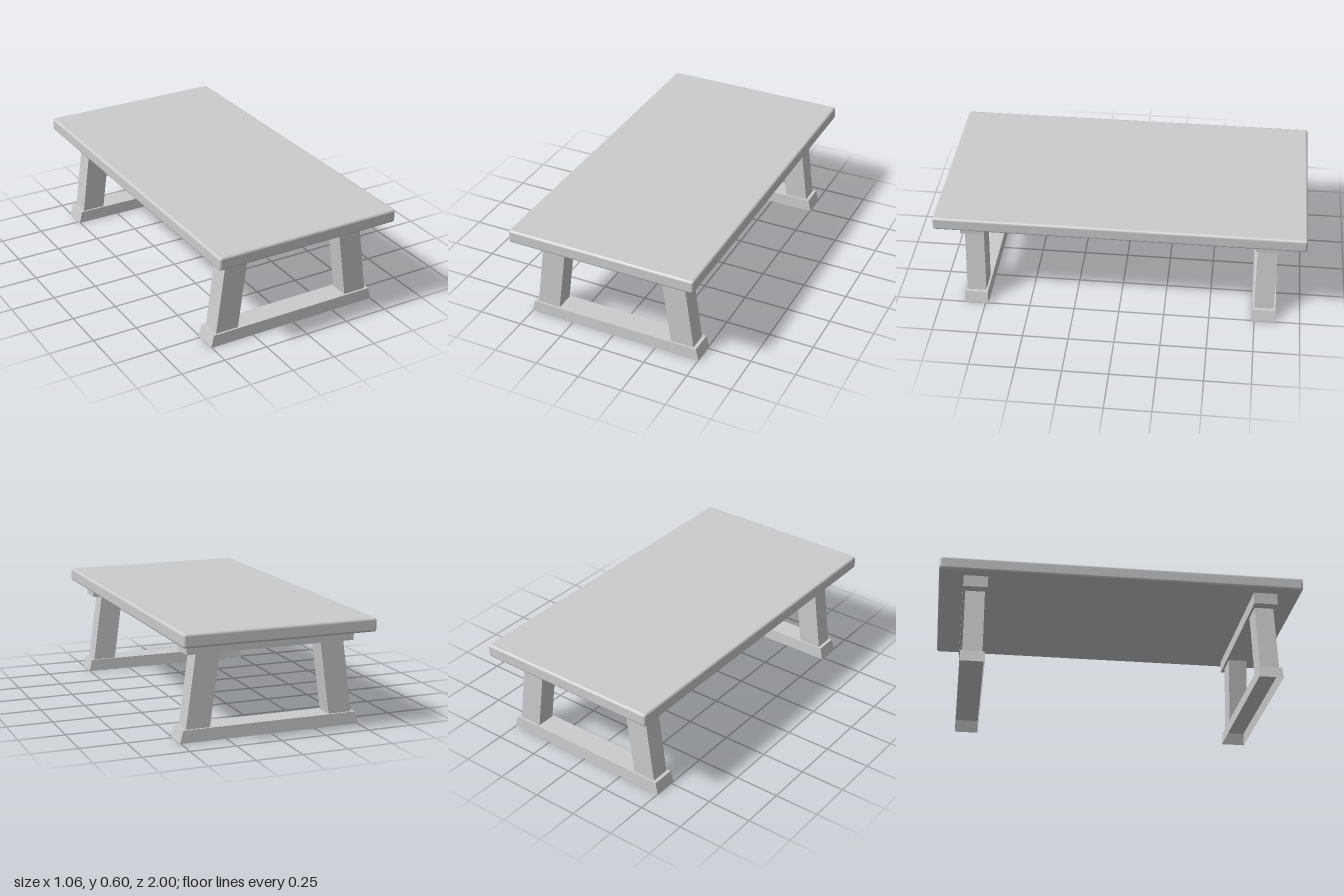
import * as THREE from 'three';
import { RoundedBoxGeometry } from 'three/addons/geometries/RoundedBoxGeometry.js';

const grey = new THREE.MeshStandardMaterial({ color: 0xcccccc });
const greyOpen = new THREE.MeshStandardMaterial({ color: 0xcccccc, side: THREE.DoubleSide });

function part(name, geometry, material = grey) {
  const mesh = new THREE.Mesh(geometry, material);
  mesh.name = name;
  return mesh;
}

// Box from y0 to y1 whose bottom and top are given as [xMin, xMax, halfDepth]
function taperedBox(y0, y1, bottom, top) {
  const geometry = new THREE.BoxGeometry(1, 1, 1);
  const p = geometry.attributes.position;
  for (let i = 0; i < p.count; i++) {
    const up = p.getY(i) > 0;
    const [xMin, xMax, depth] = up ? top : bottom;
    p.setXYZ(i, p.getX(i) > 0 ? xMax : xMin, up ? y1 : y0, Math.sign(p.getZ(i)) * depth);
  }
  geometry.computeVertexNormals();
  return geometry;
}

// One end support: hollow foot, two leaning legs and a crossbar under the top
function createTrestle(name) {
  const trestle = new THREE.Group();
  trestle.name = name;

  // Foot is a shell, open underneath
  const foot = taperedBox(0, 0.067, [-0.503, 0.503, 0.067], [-0.486, 0.486, 0.064]);
  const faces = Array.from(foot.index.array);
  faces.splice(18, 6);
  foot.setIndex(faces);
  foot.clearGroups();
  trestle.add(part('foot', foot, greyOpen));

  trestle.add(part('leftLeg', taperedBox(0.067, 0.458, [0.336, 0.467, 0.053], [0.282, 0.413, 0.053])));
  trestle.add(part('rightLeg', taperedBox(0.067, 0.458, [-0.467, -0.336, 0.053], [-0.413, -0.282, 0.053])));

  const bar = [-0.467, 0.467, 0.066];
  trestle.add(part('crossbar', taperedBox(0.458, 0.526, bar, bar)));
  return trestle;
}

export function createModel() {
  const table = new THREE.Group();
  table.name = 'table';

  // Top with softly rounded edges
  const top = part('tableTop', new RoundedBoxGeometry(1.064, 0.074, 2, 3, 0.014));
  top.position.y = 0.561;
  table.add(top);

  for (const [name, z] of [['frontTrestle', 0.8], ['backTrestle', -0.8]]) {
    const trestle = createTrestle(name);
    trestle.position.z = z;
    table.add(trestle);
  }
  return table;
}
